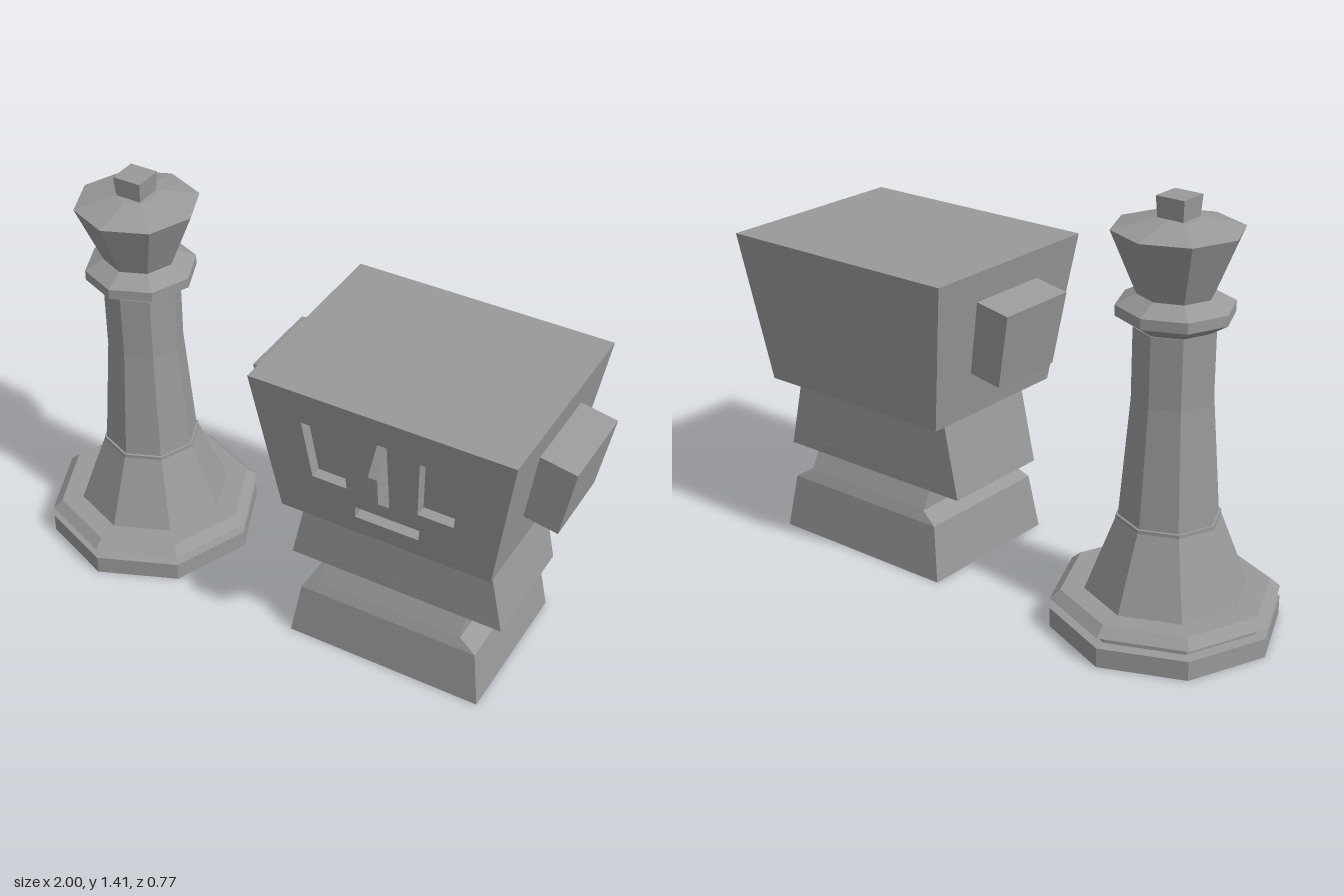
import * as THREE from 'three';

const stone = new THREE.MeshStandardMaterial({ color: 0x999999 });
stone.name = 'stone grey';

// Mesh with one normal per face
function flatMesh(name, geometry) {
  const g = geometry.index ? geometry.toNonIndexed() : geometry;
  g.computeVertexNormals();
  const mesh = new THREE.Mesh(g, stone);
  mesh.name = name;
  return mesh;
}

// Closed four-sided loft, bottom to top. Each ring: [x0, x1, z0, z1, y at x0, y at x1]
function loft(name, rings) {
  const pos = [], index = [];
  for (const [x0, x1, z0, z1, y0, y1 = y0] of rings)
    pos.push(x0, y0, z1, x1, y1, z1, x1, y1, z0, x0, y0, z0);
  for (let r = 0; r < rings.length - 1; r++) {
    for (let i = 0; i < 4; i++) {
      const a = r * 4 + i, b = r * 4 + (i + 1) % 4;
      index.push(a, b, b + 4, a, b + 4, a + 4);
    }
  }
  const t = (rings.length - 1) * 4;
  index.push(0, 3, 2, 0, 2, 1, t, t + 1, t + 2, t, t + 2, t + 3);
  const g = new THREE.BufferGeometry();
  g.setAttribute('position', new THREE.Float32BufferAttribute(pos, 3));
  g.setIndex(index);
  return flatMesh(name, g);
}

// Eight-sided turned part from [radius, y] points
function turned(name, profile) {
  return flatMesh(name, new THREE.LatheGeometry(profile.map(p => new THREE.Vector2(...p)), 8));
}

const points = list => list.map(p => new THREE.Vector2(...p));

function createQueen() {
  const queen = new THREE.Group();
  queen.name = 'queenPiece';
  queen.position.set(-0.628, 0, -0.015);
  queen.add(
    turned('queenBase', [[0, 0], [0.372, 0], [0.372, 0.065], [0.335, 0.068], [0.335, 0.1],
      [0.372, 0.1], [0.338, 0.13], [0, 0.13]]),
    turned('queenSkirt', [[0.262, 0.13], [0.168, 0.373], [0.168, 0.385], [0, 0.39]]),
    turned('queenShaft', [[0.16, 0.385], [0.129, 0.775], [0.129, 1.005], [0, 1.005]]),
    turned('queenCollar', [[0, 1.005], [0.125, 1.005], [0.185, 1.043], [0.185, 1.077],
      [0.122, 1.11], [0, 1.11]]),
    turned('queenCrown', [[0.12, 1.108], [0.205, 1.31], [0.07, 1.343], [0, 1.345]]),
    loft('queenFinial', [[-0.045, 0.045, -0.045, 0.045, 1.335], [-0.05, 0.05, -0.05, 0.05, 1.41]]),
  );
  return queen;
}

function createKing() {
  const king = new THREE.Group();
  king.name = 'kingPiece';
  king.position.set(0.447, 0, -0.012);

  // Plinth, then the neck that narrows into the bust
  king.add(
    loft('kingPlinth', [[-0.347, 0.347, -0.274, 0.274, 0], [-0.318, 0.318, -0.252, 0.252, 0.19],
      [-0.257, 0.257, -0.236, 0.236, 0.225]]),
    loft('kingNeck', [[-0.257, 0.257, -0.236, 0.236, 0.225], [-0.257, 0.257, -0.204, 0.204, 0.285],
      [-0.257, 0.257, -0.204, 0.204, 0.32]]),
    loft('kingBust', [[-0.38, 0.38, -0.204, 0.204, 0.285], [-0.32, 0.32, -0.202, 0.202, 0.565]]),
  );

  // Head: a tapered block with a pierced front slab that forms the sunken features
  const sink = 0.04;
  king.add(loft('kingHead', [[-0.367, 0.367, -0.291, 0.291 - sink, 0.56],
    [-0.446, 0.446, -0.356, 0.356 - sink, 1.08]]));
  const face = new THREE.Shape(points([[-0.367, 0.56], [0.367, 0.56], [0.446, 1.08], [-0.446, 1.08]]));
  for (const s of [-1, 1]) {
    face.holes.push(new THREE.Path(points([[s * 0.268, 0.96], [s * 0.134, 0.96],
      [s * 0.122, 0.742], [s * 0.243, 0.742]])));
  }
  face.holes.push(new THREE.Path(points([[-0.098, 0.628], [0.122, 0.628], [0.127, 0.673], [-0.095, 0.673]])));
  const slab = new THREE.ExtrudeGeometry(face, { depth: sink, bevelEnabled: false });
  const p = slab.attributes.position;
  for (let i = 0; i < p.count; i++)
    p.setZ(i, p.getZ(i) - sink + 0.291 + 0.125 * (p.getY(i) - 0.56));
  king.add(flatMesh('kingFace', slab));

  // Nose: side profile given as [-z, y], turned to face forward
  const noseProfile = new THREE.Shape(points([[-0.29, 0.98], [-0.343, 0.98], [-0.398, 0.895],
    [-0.387, 0.795], [-0.312, 0.725], [-0.27, 0.725]]));
  const nose = new THREE.ExtrudeGeometry(noseProfile, { depth: 0.032, bevelEnabled: false });
  nose.rotateY(Math.PI / 2);
  nose.translate(-0.007, 0, 0);
  king.add(flatMesh('kingNose', nose));

  // Ears: tilted blocks set into the sloping sides
  for (const s of [-1, 1]) {
    const ring = (inX, outX, z0, z1, inY, outY) => s > 0
      ? [inX, outX, z0, z1, inY, outY] : [-outX, -inX, z0, z1, outY, inY];
    king.add(loft(s > 0 ? 'leftEar' : 'rightEar', [
      ring(0.36, 0.507, -0.143, 0.137, 0.726, 0.7),
      ring(0.4, 0.553, -0.155, 0.15, 0.981, 0.953),
    ]));
  }
  return king;
}

export function createModel() {
  const model = new THREE.Group();
  model.name = 'chessPieces';
  model.add(createQueen(), createKing());
  return model;
}
